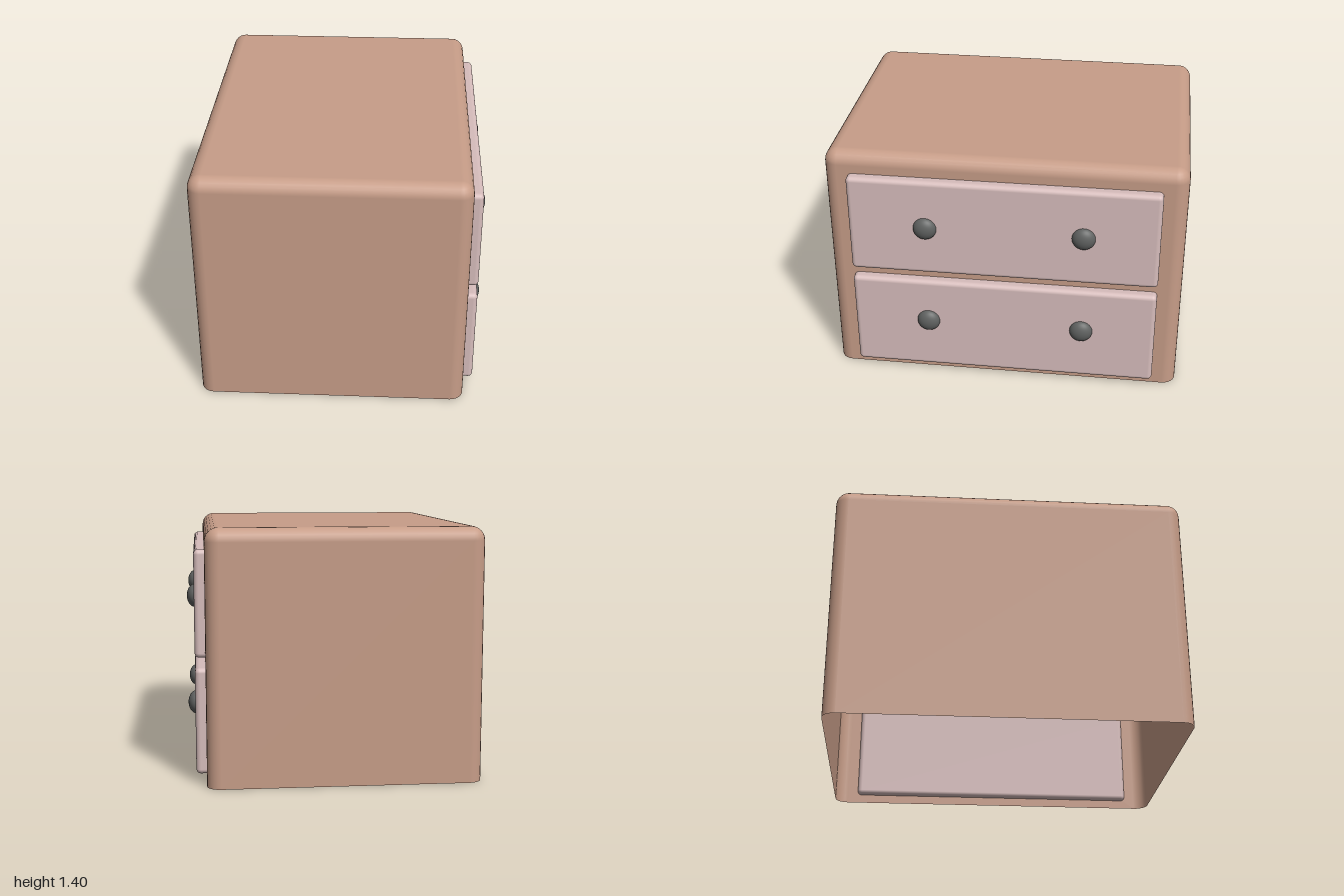
import * as THREE from 'three';
import { RoundedBoxGeometry } from 'three/addons/geometries/RoundedBoxGeometry.js';

const wood = new THREE.MeshStandardMaterial({ name: 'tanWood', color: 0xc79d88, side: THREE.DoubleSide });
const panel = new THREE.MeshStandardMaterial({ name: 'paleRosePanel', color: 0xd7bdbc });
const metal = new THREE.MeshStandardMaterial({ name: 'darkKnob', color: 0x606261 });

// Shell with rounded top and vertical edges, standing on y = 0 and open underneath
function openShell(w, h, d, r, steps = 6) {
  const cx = w / 2 - r, cz = d / 2 - r, top = h - r;
  const positions = [], normals = [], index = [];
  const rows = steps + 2; // foot of the wall, then the quarter-round up to the top
  for (let q = 0; q < 4; q++) {
    const sx = q === 0 || q === 3 ? 1 : -1, sz = q < 2 ? 1 : -1;
    for (let i = 0; i <= steps; i++) {
      const u = (q + i / steps) * Math.PI / 2;
      for (let j = 0; j < rows; j++) {
        const a = Math.max(0, j - 1) / steps * Math.PI / 2;
        const nx = Math.cos(a) * Math.cos(u), ny = Math.sin(a), nz = Math.cos(a) * Math.sin(u);
        positions.push(sx * cx + r * nx, j === 0 ? 0 : top + r * ny, sz * cz + r * nz);
        normals.push(nx, ny, nz);
      }
    }
  }
  const columns = 4 * (steps + 1), centre = columns * rows;
  positions.push(0, h, 0);
  normals.push(0, 1, 0);
  for (let i = 0; i < columns; i++) {
    const a = i * rows, b = ((i + 1) % columns) * rows;
    for (let j = 0; j < rows - 1; j++) {
      index.push(a + j, a + j + 1, b + j, b + j, a + j + 1, b + j + 1);
    }
    index.push(centre, b + rows - 1, a + rows - 1); // flat top
  }
  const geo = new THREE.BufferGeometry();
  geo.setAttribute('position', new THREE.Float32BufferAttribute(positions, 3));
  geo.setAttribute('normal', new THREE.Float32BufferAttribute(normals, 3));
  geo.setIndex(index);
  return geo;
}

export function createModel() {
  const model = new THREE.Group();
  model.name = 'drawerCabinet';

  // Cabinet body
  const body = new THREE.Mesh(openShell(1.502, 1.396, 2, 0.075), wood);
  body.name = 'cabinetBody';
  body.position.x = -0.049;
  model.add(body);

  // Two drawers on the +x side, each with a pair of domed knobs
  const frontGeo = new RoundedBoxGeometry(0.085, 0.583, 1.73, 4, 0.026);
  const knobGeo = new THREE.SphereGeometry(1, 32, 20);
  knobGeo.scale(0.045, 0.066, 0.066);
  [['lowerDrawer', 0.343, 0.37], ['upperDrawer', 0.983, 0.986]].forEach(([name, y, knobY]) => {
    const drawer = new THREE.Group();
    drawer.name = name;
    const front = new THREE.Mesh(frontGeo, panel);
    front.name = 'drawerFront';
    front.position.set(0.7165, y, 0);
    drawer.add(front);
    for (const z of [0.433, -0.447]) {
      const knob = new THREE.Mesh(knobGeo, metal);
      knob.name = 'knob';
      knob.position.set(0.755, knobY, z);
      drawer.add(knob);
    }
    model.add(drawer);
  });
  return model;
}
